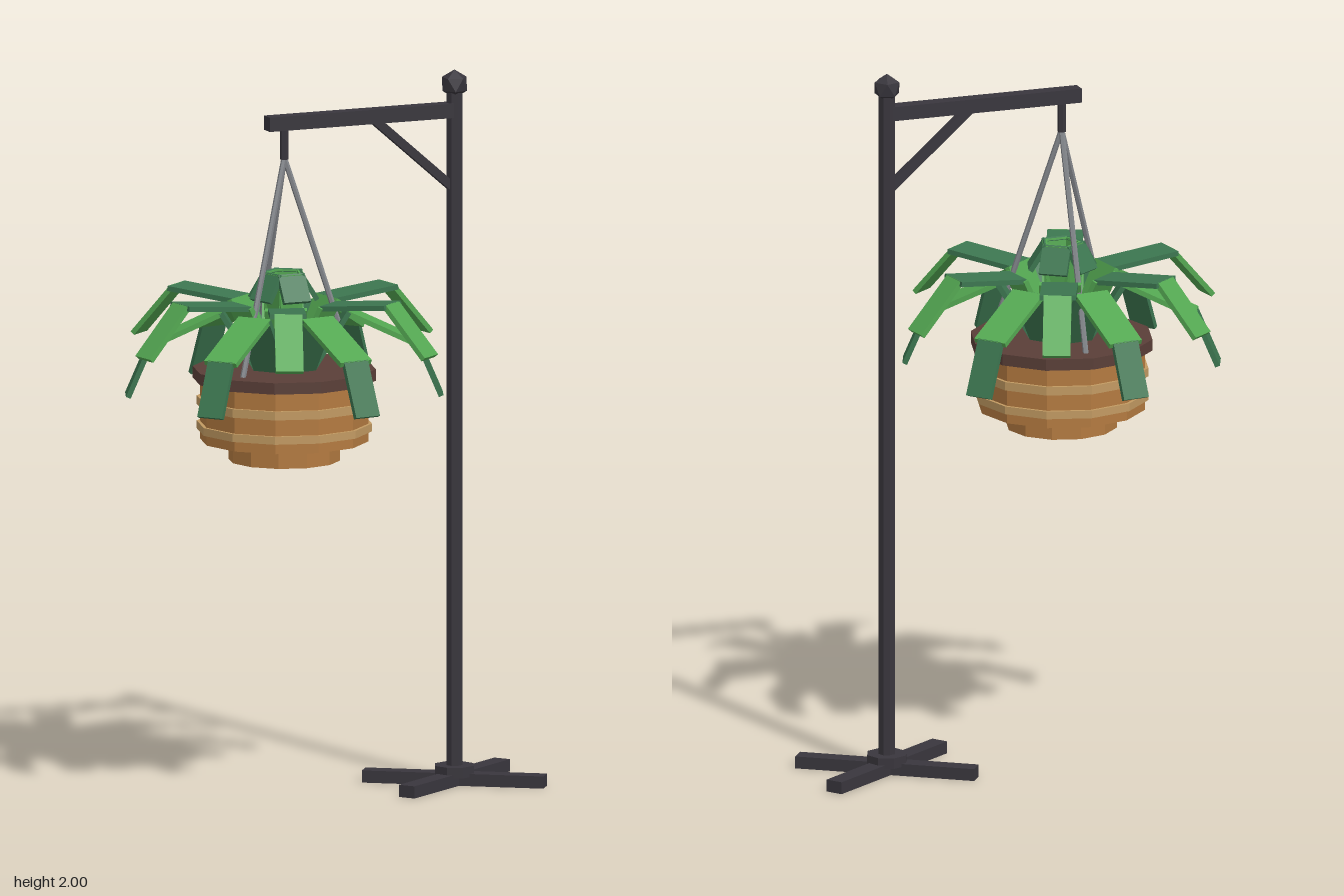
import * as THREE from 'three';

const mat = (name, color) => {
  const m = new THREE.MeshStandardMaterial({ color, flatShading: true });
  m.name = name;
  return m;
};

export function createModel() {
  const metal = mat('dark iron', 0x39363d);
  const wire = mat('grey wire', 0x83868b);
  const wood = mat('basket wood', 0xb37a40);
  const paleWood = mat('pale wood', 0xc29a62);
  const bark = mat('dark brown', 0x5a3f38);
  const light = mat('light green', 0x54a852);
  const dark = mat('dark green', 0x3c7650);

  const model = new THREE.Group();
  const add = (parent, name, geo, material, x = 0, y = 0, z = 0) => {
    const mesh = new THREE.Mesh(geo, material);
    mesh.name = name;
    mesh.position.set(x, y, z);
    parent.add(mesh);
    return mesh;
  };
  // Round bar between two points
  const rod = (parent, name, a, b, r, material, sides = 6) => {
    const dir = b.clone().sub(a);
    const mid = a.clone().add(b).multiplyScalar(0.5);
    const m = add(parent, name, new THREE.CylinderGeometry(r, r, dir.length(), sides), material, mid.x, mid.y, mid.z);
    m.quaternion.setFromUnitVectors(new THREE.Vector3(0, 1, 0), dir.normalize());
  };

  // Stand
  const stand = new THREE.Group();
  stand.name = 'stand';
  model.add(stand);
  const px = 0.37;
  for (const s of [-1, 1]) {
    const foot = add(stand, 'foot', new THREE.BoxGeometry(0.51, 0.034, 0.05), metal, px, 0.017, 0);
    foot.rotation.y = s * THREE.MathUtils.degToRad(35);
  }
  add(stand, 'collar', new THREE.CylinderGeometry(0.058, 0.058, 0.03, 8), metal, px, 0.04, 0);
  add(stand, 'post', new THREE.CylinderGeometry(0.024, 0.024, 1.92, 8), metal, px, 0.98, 0);
  const knob = new THREE.IcosahedronGeometry(0.04, 0);
  knob.rotateX(-Math.atan2((1 + Math.sqrt(5)) / 2, 1)).rotateY(Math.PI / 2);
  add(stand, 'finial', knob, metal, px, 1.96, 0);
  add(stand, 'arm', new THREE.BoxGeometry(0.565, 0.04, 0.04), metal, 0.0875, 1.888, 0);
  const brace = add(stand, 'brace', new THREE.BoxGeometry(0.32, 0.024, 0.024), metal, 0.25, 1.77, 0);
  brace.rotation.z = Math.atan2(-0.2, 0.23);

  // Hanging basket
  const basket = new THREE.Group();
  basket.name = 'hangingBasket';
  basket.position.x = -0.143;
  model.add(basket);
  add(basket, 'hook', new THREE.CylinderGeometry(0.012, 0.012, 0.1, 6), metal, 0, 1.835, 0);
  for (const deg of [30, 150, 270]) {
    const a = THREE.MathUtils.degToRad(deg);
    rod(basket, 'wire', new THREE.Vector3(0, 1.79, 0),
      new THREE.Vector3(Math.cos(a) * 0.2, 1.18, Math.sin(a) * 0.2), 0.008, wire);
  }
  const ring = (name, r, y0, y1, material) =>
    add(basket, name, new THREE.CylinderGeometry(r, r, y1 - y0, 12), material, 0, (y0 + y1) / 2, 0);
  ring('rim', 0.254, 1.17, 1.202, bark);
  ring('body', 0.234, 1.0, 1.17, wood);
  ring('upperBand', 0.243, 1.096, 1.12, paleWood);
  ring('lowerBand', 0.243, 1.028, 1.05, paleWood);
  ring('base', 0.155, 0.945, 1.0, wood);

  // Leaves: jointed slabs along a (radius, height) path, with alternating greens
  const leaf = (deg, path, widths, colors) => {
    const g = new THREE.Group();
    g.name = 'leaf';
    g.rotation.y = -THREE.MathUtils.degToRad(deg);
    basket.add(g);
    for (let i = 0; i + 1 < path.length; i++) {
      const [r0, y0] = path[i], [r1, y1] = path[i + 1];
      const geo = new THREE.BoxGeometry(Math.hypot(r1 - r0, y1 - y0) + 0.008, 0.014, widths[i]);
      const m = add(g, 'leafSegment', geo, colors[i], (r0 + r1) / 2, (y0 + y1) / 2, 0);
      m.rotation.z = Math.atan2(y1 - y0, r1 - r0);
    }
  };
  for (let k = 0; k < 6; k++) {
    leaf(52 + k * 60, [[0.05, 1.19], [0.14, 1.385], [0.335, 1.403], [0.452, 1.27]],
      [0.115, 0.1, 0.077], [light, dark, light]);
    leaf(22 + k * 60, [[0.07, 1.19], [0.175, 1.36], [0.37, 1.27], [0.43, 1.13]],
      [0.1, 0.1, 0.077], [dark, light, dark]);
  }
  // Upright heart leaves
  for (let k = 0; k < 5; k++) {
    leaf(90 + k * 72, [[0.02, 1.19], [0.045, 1.465], [0.085, 1.4]], [0.07, 0.08], [light, dark]);
  }
  return model;
}
